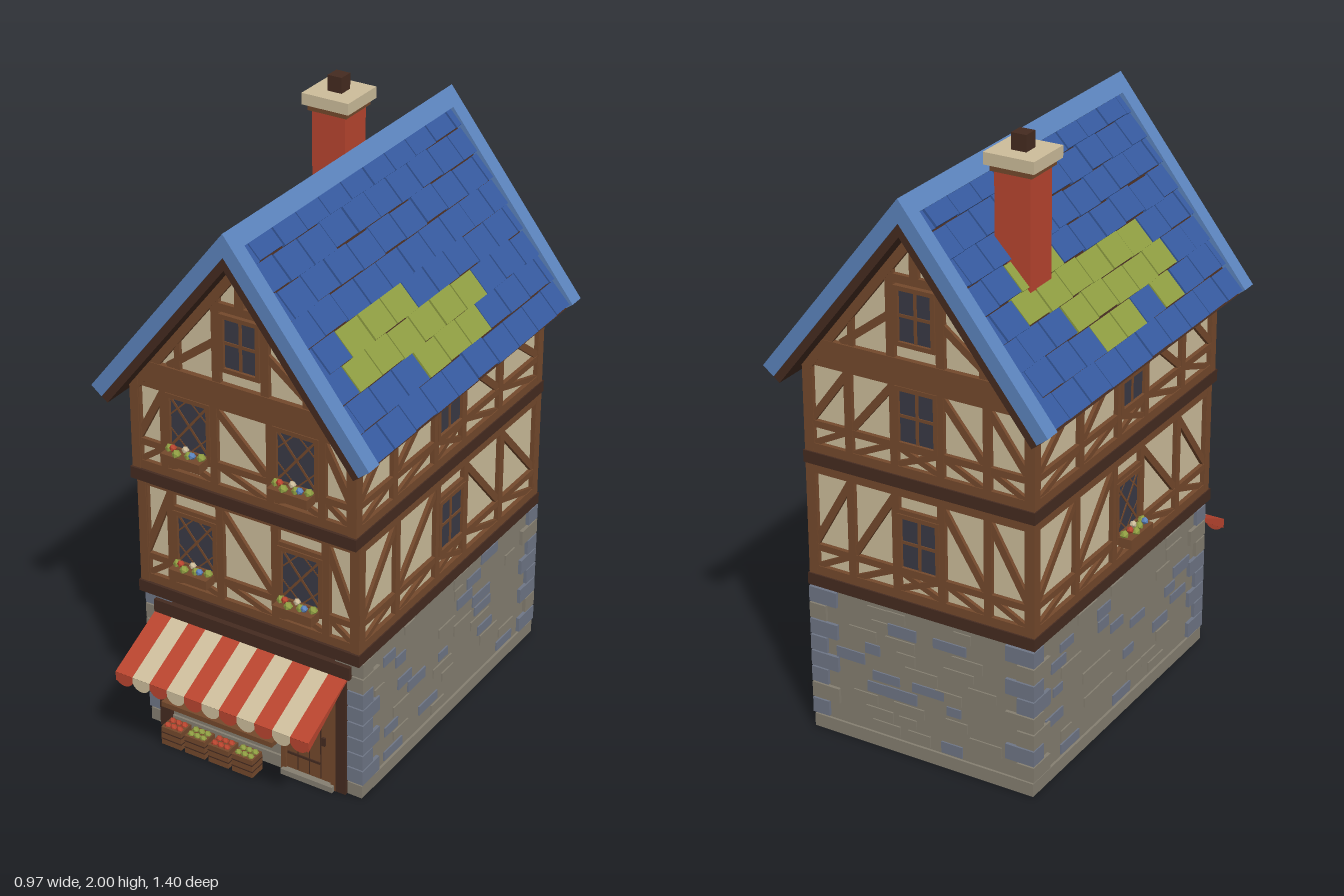
import * as THREE from 'three';

const mat = (name, color) => {
  const m = new THREE.MeshStandardMaterial({ color });
  m.name = name;
  return m;
};
const M = {
  stone: mat('stone', 0x857f71), slate: mat('slate stone', 0x6f7686), cream: mat('cream plaster', 0xcdbd9b),
  timber: mat('timber', 0x74492c), dark: mat('dark timber', 0x452b20), roof: mat('roof blue', 0x365a9f),
  trim: mat('trim blue', 0x5c84bd), moss: mat('moss green', 0x8f9e42), glass: mat('window glass', 0x3a3a46),
  red: mat('brick red', 0xb9452f),
};

let seed = 7;
const rnd = () => (seed = (seed * 16807) % 2147483647) / 2147483647;

function add(parent, name, geo, material, x = 0, y = 0, z = 0) {
  const m = new THREE.Mesh(geo, material);
  m.name = name;
  m.position.set(x, y, z);
  parent.add(m);
  return m;
}
const box = (p, name, m, w, h, d, x, y, z) => add(p, name, new THREE.BoxGeometry(w, h, d), m, x, y, z);

// A bar between two points of a facade
function beam(p, u1, v1, u2, v2, w = 0.03, m = M.timber, d = 0.03, name = 'beam') {
  const b = box(p, name, m, Math.hypot(u2 - u1, v2 - v1), w, d, (u1 + u2) / 2, (v1 + v2) / 2, 0);
  b.rotation.z = Math.atan2(v2 - v1, u2 - u1);
  return b;
}

// A group whose local x, y lie on a wall and whose local z points outwards
function facade(root, name, turn, dist) {
  const g = new THREE.Group();
  g.name = name;
  g.rotation.y = turn;
  g.position.set(Math.sin(turn) * dist, 0, Math.cos(turn) * dist);
  root.add(g);
  return g;
}

function planter(g, u, v) {
  box(g, 'planter', M.timber, 0.14, 0.032, 0.045, u, v, 0.042);
  for (let i = 0; i < 7; i++) {
    const m = i % 2 ? [M.red, M.cream, M.trim][(i >> 1) % 3] : M.moss;
    add(g, 'flowers', new THREE.IcosahedronGeometry(i % 2 ? 0.012 : 0.015, 0), m, u - 0.057 + i * 0.019, v + 0.022 + (i % 2) * 0.011, 0.042 + (i % 3 - 1) * 0.01);
  }
}

// Window with plain cross bars or a diamond lattice
function windowAt(g, u, v, w, h, leaded) {
  box(g, 'windowGlass', M.glass, w, h, 0.008, u, v, 0.004);
  const a = w / 2, b = h / 2;
  for (const s of [-1, 1]) {
    beam(g, u + s * a, v - b, u + s * a, v + b, 0.014, M.timber, 0.036, 'windowFrame');
    beam(g, u - a - 0.007, v + s * b, u + a + 0.007, v + s * b, 0.014, M.timber, 0.036, 'windowFrame');
    if (leaded) {
      beam(g, u - s * a, v - b, u + s * a, v + b, 0.008, M.timber, 0.02, 'lattice');
      beam(g, u, v + s * b, u - a, v + s * b * 0.2, 0.005, M.timber, 0.018, 'lattice');
      beam(g, u, v + s * b, u + a, v + s * b * 0.2, 0.005, M.timber, 0.018, 'lattice');
    }
  }
  if (!leaded) {
    beam(g, u, v - b, u, v + b, 0.01, M.timber, 0.022, 'windowBar');
    beam(g, u - a, v, u + a, v, 0.01, M.timber, 0.022, 'windowBar');
  }
}

// Timber framing of one storey: posts, rails, braces and windows
function framing(g, posts, y0, y1, wins, leaded) {
  const n = posts.length - 1, a = posts[0], b = posts[n], rail = y0 + 0.095;
  for (const v of [y0 + 0.015, y1 - 0.015]) beam(g, a - 0.015, v, b + 0.015, v, 0.03, M.timber, 0.03, 'rail');
  beam(g, a, rail, b, rail, 0.022, M.timber, 0.028, 'middleRail');
  posts.forEach((u, i) => beam(g, u, y0, u, y1, i % n ? 0.026 : 0.035, M.timber, 0.03, 'post'));
  for (let i = 0; i < n; i++) {
    const l = posts[i], r = posts[i + 1], c = (l + r) / 2, up = i < n / 2 && i !== (n - 1) / 2;
    if (wins.includes(i)) {
      windowAt(g, c, y0 + 0.195, Math.min(0.145, r - l - 0.026), 0.18, leaded);
      beam(g, l, y0 + 0.296, r, y0 + 0.296, 0.02, M.timber, 0.028, 'lintel');
      beam(g, l, y0 + 0.03, r, rail, 0.018, M.timber, 0.024, 'brace');
      beam(g, l, rail, r, y0 + 0.03, 0.018, M.timber, 0.024, 'brace');
      if (leaded) planter(g, c, y0 + 0.093);
    } else {
      beam(g, l, up ? rail : y1 - 0.03, r, up ? y1 - 0.03 : rail, 0.024, M.timber, 0.024, 'brace');
      beam(g, l, up ? y0 + 0.02 : rail, r, up ? rail : y0 + 0.02, 0.018, M.timber, 0.024, 'brace');
    }
  }
}

// Roof cross-section: s runs down the slope, d is the depth below its surface
const TOP = 1.88, ANG = Math.atan2(0.62, 0.485), C = Math.cos(ANG), S = Math.sin(ANG), SLOPE = 0.79;
function chevron(root, name, m, d0, d1, len, z0, z1) {
  const at = (k, s, d) => new THREE.Vector2(k * (s * C - d * S), TOP - s * S - d * C);
  const shape = new THREE.Shape([new THREE.Vector2(0, TOP - d0 / C), at(-1, len, d0), at(-1, len, d1),
    new THREE.Vector2(0, TOP - d1 / C), at(1, len, d1), at(1, len, d0)]);
  add(root, name, new THREE.ExtrudeGeometry(shape, { depth: z1 - z0, bevelEnabled: false }), m, 0, 0, z0);
}

function roof(root) {
  chevron(root, 'roofDeck', M.dark, 0.028, 0.072, 0.792, -0.697, 0.582);
  chevron(root, 'backBargeBoard', M.trim, 0, 0.046, SLOPE, -0.7, -0.645);
  chevron(root, 'frontBargeBoard', M.trim, 0, 0.046, SLOPE, 0.53, 0.585);
  chevron(root, 'ridgeCap', M.trim, 0, 0.025, 0.062, -0.7, 0.585);
  // Mossy stretches per tile row, as z ranges
  const moss = {
    1: { 4: [0, 0.4], 5: [-0.31, 0.45], 6: [-0.25, 0.13] },
    [-1]: { 3: [-0.44, -0.2], 4: [-0.5, 0.26], 5: [-0.31, 0.31], 6: [-0.25, 0.25] },
  };
  const W = 0.1235, Z0 = -0.645, Z1 = 0.53;
  for (const k of [1, -1]) for (let r = 0; r < 8; r++) {
    for (let i = 0; i <= 10; i++) {
      const start = Z0 + (i - (r % 2 ? 0.29 : 0.73)) * W;
      const a = Math.max(Z0, start), b = Math.min(Z1, start + W), c = (a + b) / 2;
      if (b - a < 0.015) continue;
      const range = moss[k][r];
      const mossy = range && c > range[0] && c < range[1] && !(k < 0 && r === 6 && c > 0.02 && c < 0.13);
      const s = 0.079 + r * 0.0942 + (rnd() - 0.5) * 0.006, d = 0.016 + rnd() * 0.004;
      const t = box(root, mossy ? 'mossyTile' : 'roofTile', mossy ? M.moss : M.roof, 0.092, 0.014, b - a - 0.006,
        k * (s * C - d * S), TOP - s * S - d * C, c);
      t.rotation.z = -k * (ANG - 0.1);
    }
  }
}

// Corner stones and scattered wall stones
function stonework(root) {
  for (const x of [-1, 1]) for (const z of [-0.625, 0.465]) for (let i = 0; i < 8; i++) {
    const long = i % 2, w = long ? 0.1 : 0.06, d = long ? 0.06 : 0.1, dir = Math.sign(z);
    box(root, 'cornerStone', rnd() < 0.45 ? M.stone : M.slate, w, 0.052, d, x * (0.402 - w / 2), 0.078 + i * 0.057, z + dir * 0.006 - dir * d / 2);
  }
  for (const [turn, dist, a, b] of [[Math.PI / 2, 0.39, -0.36, 0.5], [-Math.PI / 2, 0.39, -0.5, 0.36], [Math.PI, 0.62, -0.28, 0.28]]) {
    const g = facade(root, 'wallStones', turn, dist);
    for (let r = 0; r < 10; r++) for (let i = 0; i < 3; i++) {
      const w = 0.05 + rnd() * 0.07, u = a + (b - a) * (i + rnd() * 0.9) / 3;
      box(g, 'wallStone', rnd() < 0.4 ? M.slate : M.stone, w, 0.03 + rnd() * 0.01, 0.01, u, 0.07 + r * 0.045, 0);
    }
  }
}

function shopFront(root) {
  const g = facade(root, 'shopFront', 0, 0.46);
  for (const x of [-0.335, 0.325]) box(g, 'shopPost', M.dark, 0.04, 0.46, 0.04, x, 0.23, 0);
  box(g, 'shopHeader', M.dark, 0.72, 0.045, 0.05, 0, 0.46, 0);
  box(g, 'shopGlass', M.glass, 0.4, 0.31, 0.008, -0.11, 0.28, 0.006);
  for (const x of [-0.305, -0.175, -0.045, 0.085]) box(g, 'shopWindowBar', M.timber, 0.014, 0.31, 0.026, x, 0.28, 0.004);
  for (const y of [0.285, 0.43]) box(g, 'shopWindowBar', M.timber, 0.4, 0.012, 0.024, -0.11, y, 0.004);
  box(g, 'shopSill', M.timber, 0.42, 0.018, 0.06, -0.11, 0.118, 0.03);
  box(g, 'shopNotice', M.stone, 0.02, 0.065, 0.008, -0.29, 0.215, 0.016);
  // Door with panels, frame and handle
  box(g, 'door', M.timber, 0.17, 0.41, 0.02, 0.21, 0.225, 0.004);
  for (const x of [0.117, 0.3]) box(g, 'doorFrame', M.timber, 0.018, 0.44, 0.034, x, 0.22, 0.004);
  for (const x of [0.168, 0.21, 0.252]) box(g, 'doorGroove', M.dark, 0.003, 0.4, 0.005, x, 0.225, 0.013);
  for (const y of [0.08, 0.25]) box(g, 'doorHinge', M.dark, 0.12, 0.008, 0.006, 0.19, y, 0.015);
  box(g, 'doorHandle', M.dark, 0.012, 0.03, 0.01, 0.265, 0.17, 0.016);
  box(g, 'doorStep', M.stone, 0.19, 0.02, 0.04, 0.21, 0.01, 0.015);
  // Crates of produce
  for (let i = 0; i < 4; i++) {
    const x = -0.255 + i * 0.09;
    box(g, 'crate', M.timber, 0.076, 0.066, 0.058, x, 0.033, 0.073);
    for (const y of [0.022, 0.046]) box(g, 'crateSlat', M.dark, 0.078, 0.004, 0.06, x, y, 0.073);
    for (let j = 0; j < 6; j++) add(g, 'produce', new THREE.IcosahedronGeometry(0.012, 0), i % 2 ? M.moss : M.red,
      x - 0.023 + (j % 3) * 0.023, 0.067, 0.06 + (j > 2 ? 0.026 : 0));
  }
  // Striped awning with a scalloped edge
  const w = 0.71 / 11, run = 0.225, drop = 0.107;
  const flap = new THREE.Shape();
  flap.moveTo(-w / 2, 0);
  flap.lineTo(-w / 2, -0.022);
  flap.absarc(0, -0.01, w / 2 * 1.06, Math.PI + 0.38, Math.PI * 2 - 0.38, false);
  flap.lineTo(w / 2, -0.022);
  flap.lineTo(w / 2, 0);
  for (let i = 0; i < 11; i++) {
    const m = i % 2 ? M.cream : M.red, x = -0.36 + (i + 0.5) * w;
    const top = box(g, 'awningStripe', m, w, 0.008, Math.hypot(run, drop), x, 0.437 - drop / 2, 0.012 + run / 2);
    top.rotation.x = Math.atan2(drop, run);
    add(g, 'awningFlap', new THREE.ExtrudeGeometry(flap, { depth: 0.008, bevelEnabled: false, curveSegments: 8 }), m, x, 0.334, 0.23);
  }
  // Tapered awning cheeks
  const cheek = new THREE.Shape([[-0.012, 0.437], [-0.237, 0.33], [-0.237, 0.3]].map((p) => new THREE.Vector2(...p)));
  for (const x of [-0.36, 0.344]) {
    add(g, 'awningCheek', new THREE.ExtrudeGeometry(cheek, { depth: 0.006, bevelEnabled: false }), M.red, x).rotation.y = Math.PI / 2;
  }
}

export function createModel() {
  const root = new THREE.Group();
  root.name = 'timberFramedShop';

  // Ground floor on a hollow plinth
  box(root, 'stoneWalls', M.stone, 0.78, 0.465, 1.08, 0, 0.2775, -0.08);
  for (const s of [-1, 1]) {
    box(root, 'sidePlinth', M.stone, 0.03, 0.045, 1.096, s * 0.383, 0.0225, -0.08);
    box(root, 'endPlinth', M.stone, 0.74, 0.045, 0.03, 0, 0.0225, -0.08 + s * 0.533);
  }
  stonework(root);
  shopFront(root);

  // Upper storeys
  for (const [y0, y1, zf] of [[0.55, 0.93, 0.475], [0.97, 1.29, 0.495]]) {
    const zc = (zf - 0.61) / 2, first = y0 < 0.9;
    box(root, 'plasterWalls', M.cream, 0.77, y1 - y0 + 0.04, zf + 0.61, 0, (y0 + y1) / 2, zc);
    box(root, 'floorBand', M.dark, 0.808, 0.04, zf + 0.655, 0, y0 - 0.02, zc + 0.002);
    framing(facade(root, 'frontFraming', 0, zf), [-0.383, -0.28, -0.1, 0.1, 0.28, 0.383], y0, y1, [1, 3], true);
    framing(facade(root, 'backFraming', Math.PI, 0.61), [-0.383, -0.24, -0.08, 0.08, 0.24, 0.383], y0, y1, [2], false);
    const o = first ? 0 : -0.02;
    const posts = [-zf, -0.27 + o, -0.03 + o, 0.14 + o, 0.37 + o, 0.608];
    framing(facade(root, 'rightFraming', Math.PI / 2, 0.385), posts, y0, y1, [2], false);
    framing(facade(root, 'leftFraming', -Math.PI / 2, 0.385), posts.map((u) => -u).reverse(), y0, y1, [2], first);
  }

  // Gable ends
  const gable = new THREE.Shape([[-0.385, 1.25], [0.385, 1.25], [0.385, 1.28], [0, 1.765], [-0.385, 1.28]].map((p) => new THREE.Vector2(...p)));
  add(root, 'gableWalls', new THREE.ExtrudeGeometry(gable, { depth: 1.105, bevelEnabled: false }), M.cream, 0, 0, -0.61);
  for (const [turn, dist] of [[0, 0.495], [Math.PI, 0.61]]) {
    const g = facade(root, 'gableFraming', turn, dist);
    beam(g, -0.4, 1.32, 0.4, 1.32, 0.06, M.timber, 0.036, 'tieBeam');
    beam(g, -0.13, 1.6, 0.13, 1.6, 0.026, M.timber, 0.03, 'collarBeam');
    beam(g, 0, 1.6, 0, 1.75, 0.03, M.timber, 0.03, 'kingPost');
    windowAt(g, 0, 1.485, 0.125, 0.175, false);
    for (const s of [-1, 1]) {
      beam(g, 0, 1.745, s * 0.385, 1.255, 0.036, M.timber, 0.032, 'rafter');
      beam(g, s * 0.085, 1.35, s * 0.085, 1.63, 0.028, M.timber, 0.03, 'gablePost');
      beam(g, s * 0.09, 1.48, s * 0.26, 1.35, 0.024, M.timber, 0.024, 'gableBrace');
      beam(g, s * 0.225, 1.35, s * 0.225, 1.46, 0.02, M.timber, 0.026, 'gablePost');
    }
  }

  roof(root);

  // Chimney
  box(root, 'chimney', M.red, 0.12, 0.5, 0.12, -0.19, 1.65, -0.335);
  box(root, 'chimneyCollar', M.timber, 0.14, 0.02, 0.14, -0.19, 1.9, -0.335);
  box(root, 'chimneyCap', M.cream, 0.168, 0.038, 0.164, -0.19, 1.929, -0.335);
  box(root, 'chimneyPot', M.dark, 0.05, 0.055, 0.05, -0.19, 1.9725, -0.335);
  return root;
}
